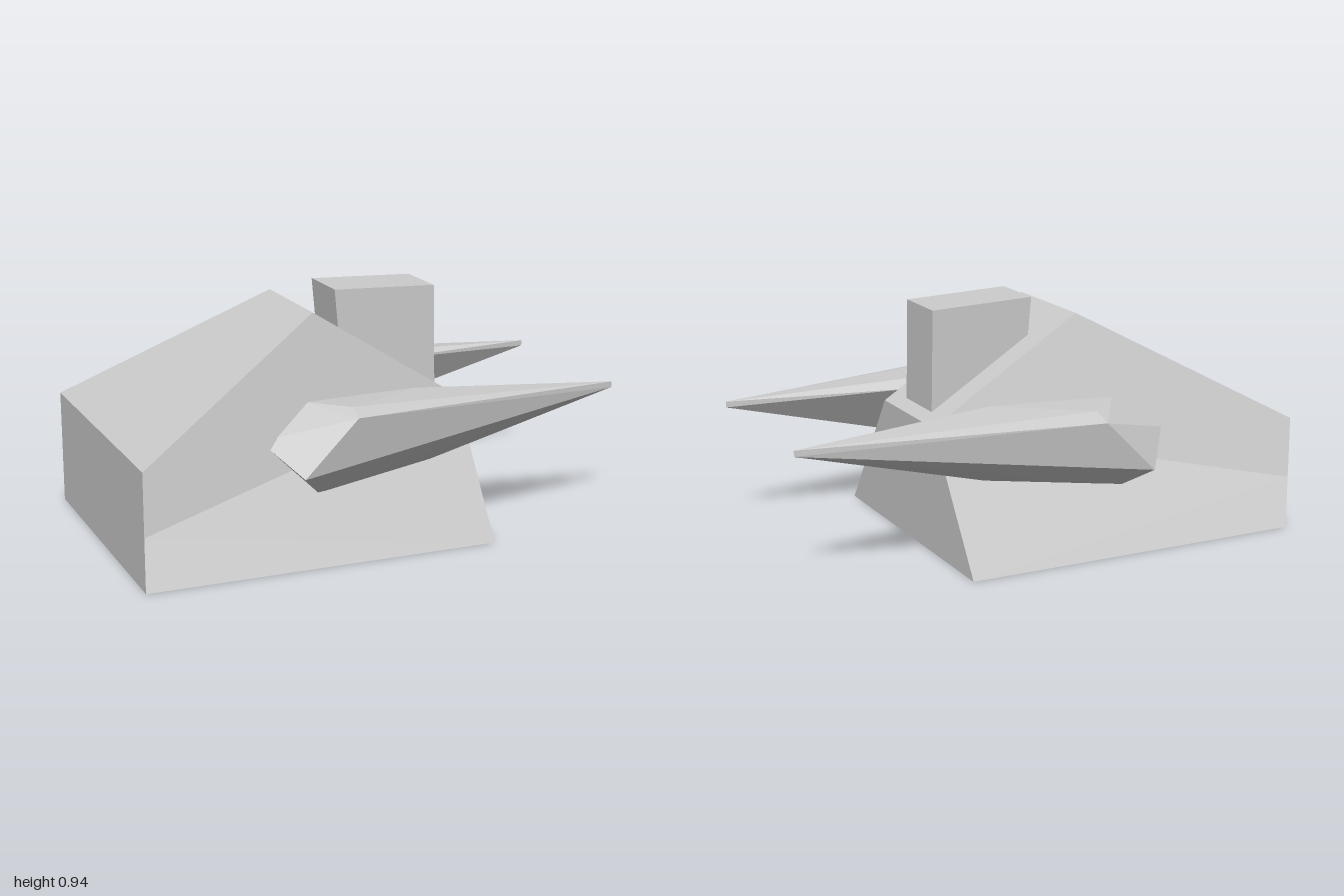
import * as THREE from 'three';
import { ConvexGeometry } from 'three/addons/geometries/ConvexGeometry.js';

// Builds flat-shaded polygons, each with one averaged normal and fanned from its first corner
function polygons(faces) {
  const pos = [], nor = [];
  for (const f of faces) {
    const n = new THREE.Vector3();
    f.forEach((p, i) => n.add(new THREE.Vector3().crossVectors(p, f[(i + 1) % f.length])));
    n.normalize();
    for (let i = 1; i < f.length - 1; i++) {
      for (const p of [f[0], f[i], f[i + 1]]) {
        pos.push(p.x, p.y, p.z);
        nor.push(n.x, n.y, n.z);
      }
    }
  }
  const g = new THREE.BufferGeometry();
  g.setAttribute('position', new THREE.Float32BufferAttribute(pos, 3));
  g.setAttribute('normal', new THREE.Float32BufferAttribute(nor, 3));
  return g;
}

// Convex faceted solid from its corners
const hull = (pts) => new ConvexGeometry(pts.map((p) => new THREE.Vector3(...p)));

export function createModel() {
  const model = new THREE.Group();
  model.name = 'model';
  const grey = new THREE.MeshStandardMaterial({ color: 0xcccccc });
  grey.name = 'light grey';

  const add = (name, geometry) => {
    const mesh = new THREE.Mesh(geometry, grey);
    mesh.name = name;
    model.add(mesh);
    return mesh;
  };

  // Body: side profile (x, y) with the corner on the wide base or the narrow ridge
  const profile = [
    [0.39, 0, 'wide'], [0.39, 0.5, 'narrow'], [-0.22, 0.885, 'narrow'],
    [-1, 0.453, 'wide'], [-1, 0.21, 'wide'], [-1, 0, 'wide'],
  ];
  const side = (z) => profile.map(([x, y, k]) => new THREE.Vector3(x, y, z[k]));
  const a = side({ wide: 0.58, narrow: 0.235 });
  const b = side({ wide: -0.572, narrow: -0.225 });
  const faces = profile.map((_, i) => {
    const j = (i + 1) % profile.length;
    return [a[i], b[i], b[j], a[j]];
  });
  faces.push(
    [a[0], a[1], a[4], a[5]], [a[1], a[2], a[3], a[4]],
    [b[0], b[5], b[4], b[1]], [b[1], b[4], b[3], b[2]],
  );
  add('body', polygons(faces));

  // Upright block on the sloping roof, slightly sheared
  const block = [[-0.085, 0.94], [0.335, 0.925], [0.345, 0.45], [-0.04, 0.45]];
  add('roofBlock', hull([0.125, -0.112].flatMap((z) => block.map(([x, y]) => [x, y, z]))));

  // Long pointed spikes at the two sides
  add('frontSpike', hull([
    [1, 0.53, 0.387], [1, 0.507, 0.387],
    [-0.18, 0.56, 0.585], [-0.39, 0.35, 0.585], [-0.3, 0.26, 0.48],
    [0, 0.253, 0.39], [-0.5, 0.46, 0.41],
    [-0.17, 0.58, 0.5], [-0.3, 0.577, 0.36], [0.18, 0.565, 0.29], [0.26, 0.53, 0.25],
  ]));
  add('backSpike', hull([
    [1, 0.53, -0.37], [1, 0.507, -0.37],
    [-0.16, 0.54, -0.587], [-0.37, 0.33, -0.587], [-0.29, 0.245, -0.46],
    [0, 0.25, -0.37], [-0.485, 0.45, -0.44],
    [-0.16, 0.567, -0.505], [-0.3, 0.575, -0.37], [0.18, 0.573, -0.28], [0.23, 0.54, -0.243],
  ]));

  return model;
}
